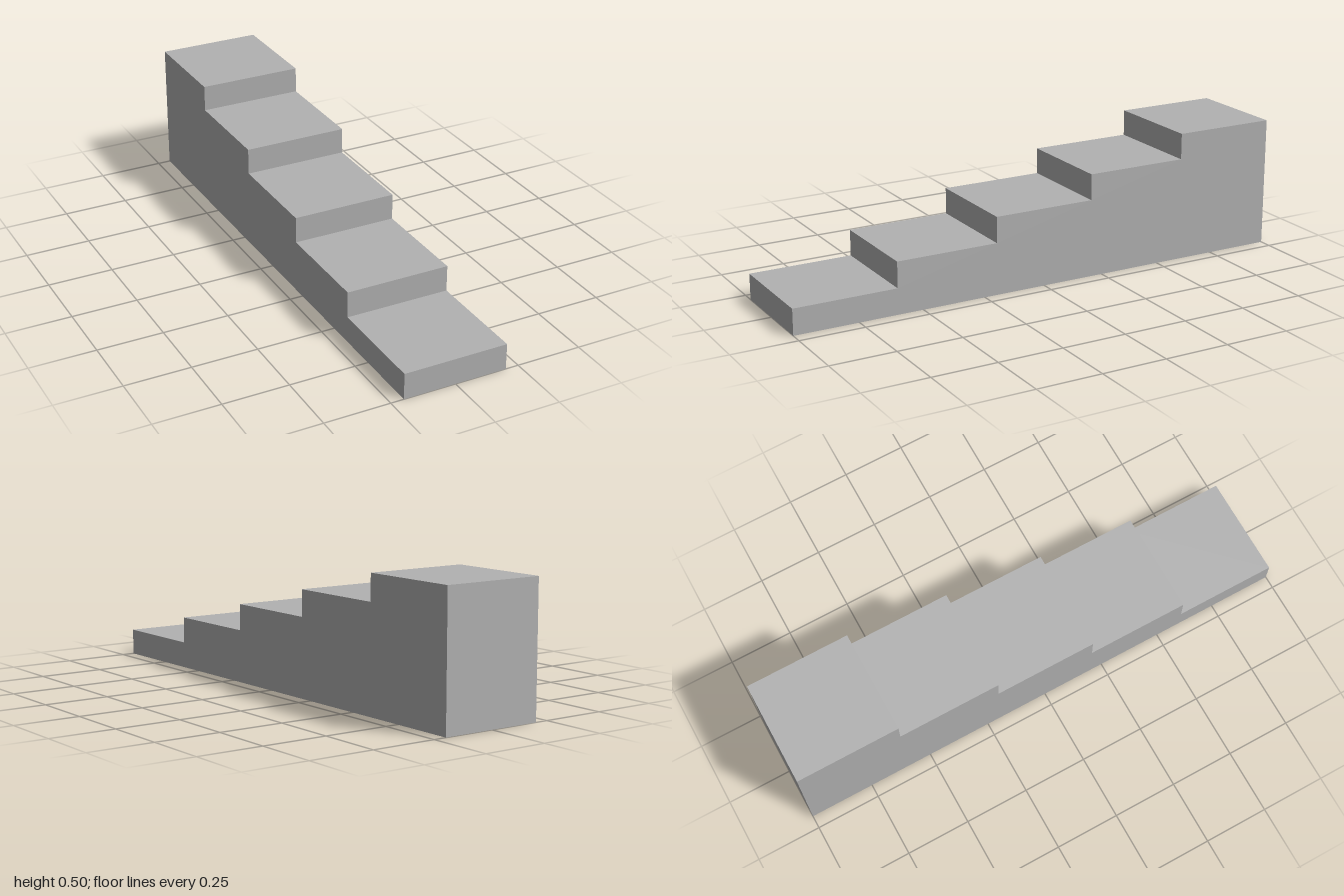
import * as THREE from 'three';

const STEPS = 5, TREAD = 0.4, RISE = 0.1, WIDTH = 0.4;

export function createModel() {
  const group = new THREE.Group();
  group.name = 'staircase';
  const grey = new THREE.MeshStandardMaterial({ color: 0xb2b2b2 });
  grey.name = 'grey';

  // Stepped side profile: horizontal axis runs from back to front
  const half = STEPS * TREAD / 2;
  const profile = new THREE.Shape();
  profile.moveTo(-half, 0);
  profile.lineTo(half, 0);
  for (let i = 0; i < STEPS; i++) {
    const y = (i + 1) * RISE;
    profile.lineTo(half - i * TREAD, y);
    profile.lineTo(half - (i + 1) * TREAD, y);
  }
  profile.closePath();

  // Solid flight of steps, extruded across its width
  const geometry = new THREE.ExtrudeGeometry(profile, { depth: WIDTH, bevelEnabled: false });
  geometry.translate(0, 0, -WIDTH / 2);
  geometry.rotateY(-Math.PI / 2);
  const steps = new THREE.Mesh(geometry, grey);
  steps.name = 'steps';
  group.add(steps);
  return group;
}
